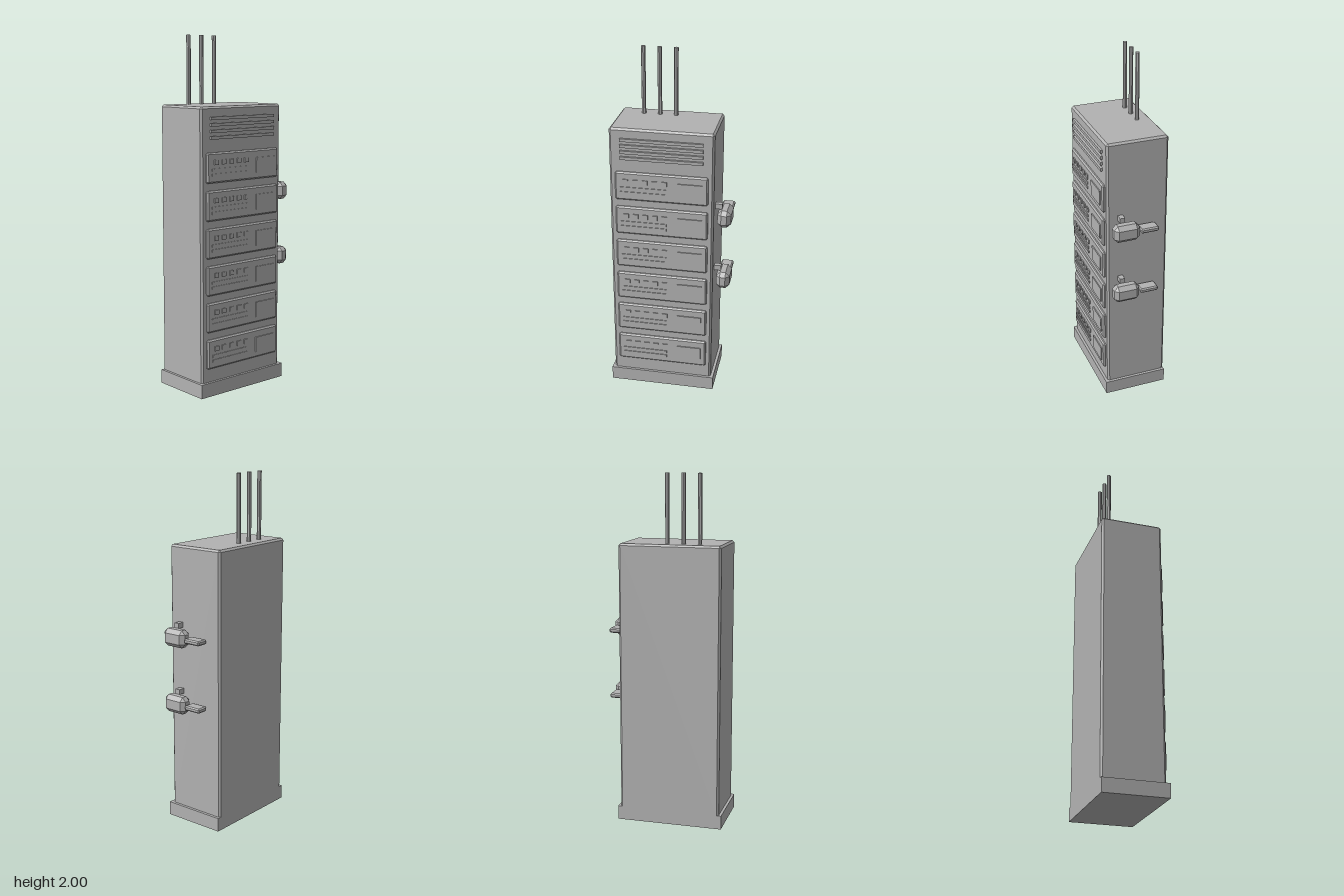
import * as THREE from 'three';
import { ConvexGeometry } from 'three/addons/geometries/ConvexGeometry.js';

const grey = new THREE.MeshStandardMaterial({ color: 0xb2b2b2 });
grey.name = 'grey metal';

// Box between two corners, with every edge chamfered by c (0 = plain box).
function block(name, x0, x1, y0, y1, z0, z1, c = 0) {
  const half = [(x1 - x0) / 2, (y1 - y0) / 2, (z1 - z0) / 2];
  let geometry;
  if (c > 0) {
    const points = [];
    for (const sx of [-1, 1]) for (const sy of [-1, 1]) for (const sz of [-1, 1]) {
      const s = [sx, sy, sz];
      for (let axis = 0; axis < 3; axis++) {
        points.push(new THREE.Vector3(...half.map((h, i) => s[i] * (i === axis ? h : h - c))));
      }
    }
    geometry = new ConvexGeometry(points);
  } else {
    geometry = new THREE.BoxGeometry(...half.map((h) => h * 2));
  }
  const mesh = new THREE.Mesh(geometry, grey);
  mesh.name = name;
  mesh.position.set((x0 + x1) / 2, (y0 + y1) / 2, (z0 + z1) / 2);
  return mesh;
}

// Rack unit: bevelled panel with five buttons, two slots and a display; origin at its bottom.
function createUnit() {
  const unit = new THREE.Group();
  unit.name = 'rackUnit';
  unit.add(block('unitPanel', -0.3, 0.222, 0, 0.166, 0.15, 0.18, 0.008));
  for (let i = 0; i < 5; i++) {
    const x = -0.254 + i * 0.0545;
    unit.add(block('button', x, x + 0.03, 0.1, 0.126, 0.176, 0.186));
  }
  for (const y of [0.038, 0.066]) unit.add(block('slotBar', -0.27, -0.01, y, y + 0.014, 0.176, 0.184));
  unit.add(block('display', 0.053, 0.192, 0.035, 0.122, 0.176, 0.186));
  return unit;
}

// Side connector: faceted body, flat lever behind it and a peg to the cabinet; origin at its bottom.
function createConnector() {
  const connector = new THREE.Group();
  connector.name = 'sideConnector';
  connector.add(
    block('connectorBody', 0.268, 0.345, 0, 0.1, 0, 0.15, 0.023),
    block('connectorLever', 0.268, 0.337, 0.035, 0.062, -0.11, -0.004, 0.007),
    block('connectorPeg', 0.245, 0.291, 0.098, 0.128, 0.074, 0.103),
  );
  return connector;
}

export function createModel() {
  const model = new THREE.Group();
  model.name = 'serverCabinet';

  model.add(block('plinth', -0.347, 0.268, 0, 0.08, -0.19, 0.18));
  model.add(block('cabinet', -0.332, 0.252, 0.06, 1.615, -0.19, 0.165, 0.011));

  // Stacked rack units
  for (let i = 0; i < 6; i++) {
    const unit = createUnit();
    unit.position.y = 0.158 + i * 0.2085;
    model.add(unit);
  }

  // Vent slats above the units
  for (let i = 0; i < 4; i++) {
    const y = 1.438 + i * 0.035;
    model.add(block('ventSlat', -0.27, 0.192, y, y + 0.017, 0.155, 0.178));
  }

  // Connectors on the left flank
  for (const y of [0.673, 1.058]) {
    const connector = createConnector();
    connector.position.y = y;
    model.add(connector);
  }

  // Roof rods
  for (const x of [-0.195, -0.103, -0.01]) {
    const rod = new THREE.Mesh(new THREE.CylinderGeometry(0.0125, 0.0125, 0.4, 8).toNonIndexed(), grey);
    rod.geometry.computeVertexNormals();
    rod.name = 'roofRod';
    rod.position.set(x, 1.8, -0.11);
    model.add(rod);
  }
  return model;
}
